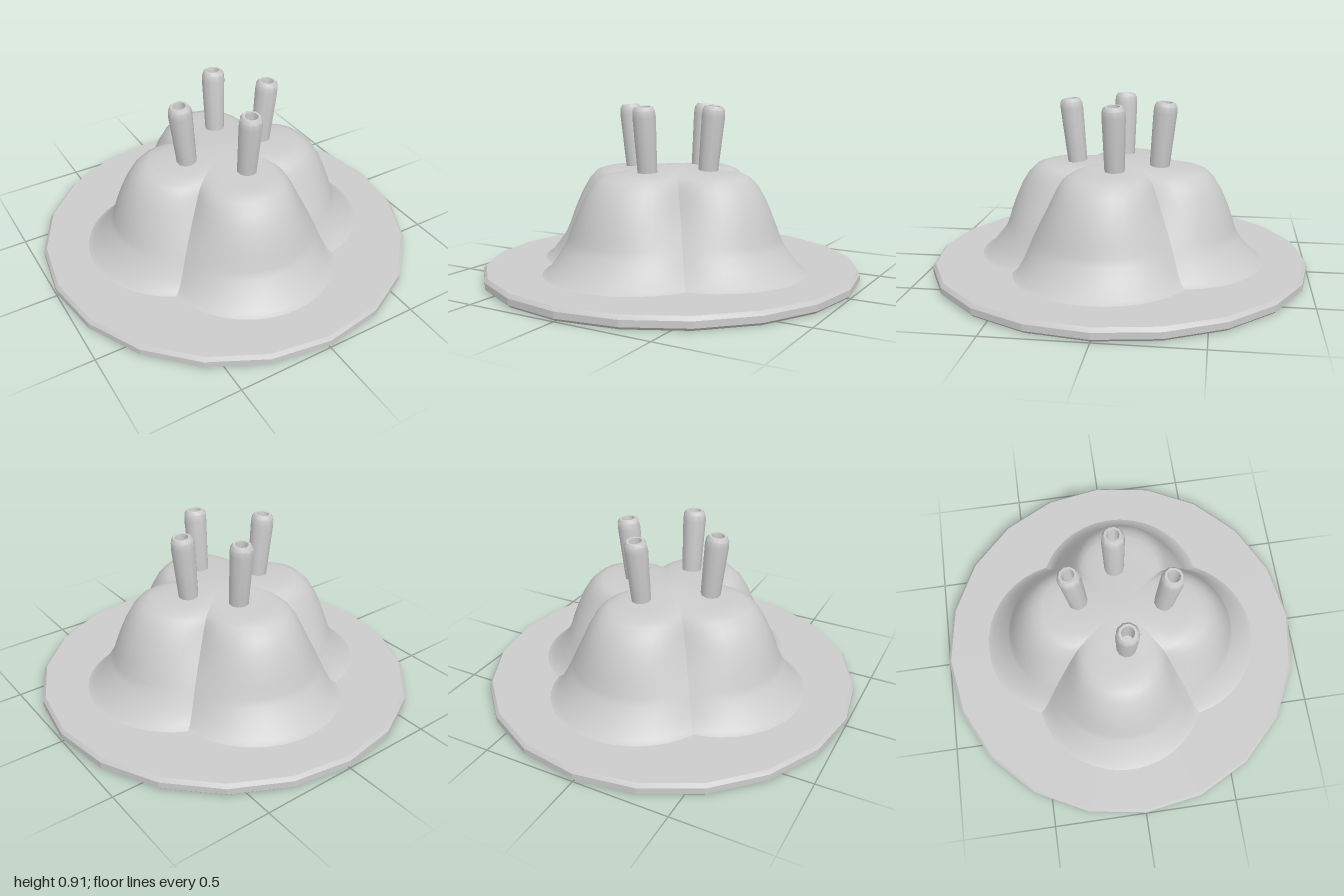
import * as THREE from 'three';
import { toCreasedNormals } from 'three/addons/utils/BufferGeometryUtils.js';

const material = new THREE.MeshStandardMaterial({ color: 0xcccccc });
const TWIST = THREE.MathUtils.degToRad(8); // the four lobes are turned slightly off the axes

function add(parent, name, geometry) {
  const mesh = new THREE.Mesh(geometry, material);
  mesh.name = name;
  parent.add(mesh);
  return mesh;
}

function lathe(points, sides, crease) {
  const profile = points.map(([r, y]) => new THREE.Vector2(r, y));
  return toCreasedNormals(new THREE.LatheGeometry(profile, sides), crease);
}

// Rings of a lobe: radius and height at its middle, radius and height at its creases
const rings = [
  [0.78, 0.06, 0.64, 0.06], [0.74, 0.075, 0.6, 0.08], [0.68, 0.145, 0.56, 0.14],
  [0.635, 0.2, 0.53, 0.2], [0.617, 0.24, 0.505, 0.25], [0.6, 0.3, 0.47, 0.31],
  [0.575, 0.37, 0.425, 0.38], [0.545, 0.44, 0.385, 0.44], [0.505, 0.505, 0.35, 0.49],
  [0.46, 0.548, 0.325, 0.52], [0.41, 0.565, 0.3, 0.54], [0.34, 0.568, 0.26, 0.557],
  [0.24, 0.573, 0.21, 0.571], [0.12, 0.584, 0.12, 0.584], [0.001, 0.588, 0.001, 0.588],
];

// One quarter of the body; each ring is an arc of a circle set off from the centre
function lobeGeometry() {
  const steps = 16, positions = [], index = [];
  for (const [R, yR, C, yC] of rings) {
    const offset = (R * R - C * C) / (2 * R - Math.SQRT2 * C);
    const radius = R - offset;
    for (let j = 0; j <= steps; j++) {
      const t = (2 * j) / steps - 1;
      const a = (t * Math.PI) / 4;
      const r = offset * Math.cos(a) + Math.sqrt(radius ** 2 - (offset * Math.sin(a)) ** 2);
      positions.push(r * Math.cos(a), yR + (yC - yR) * t * t, r * Math.sin(a));
    }
  }
  const row = steps + 1;
  for (let i = 0; i < rings.length - 1; i++) {
    for (let j = 0; j < steps; j++) {
      const a = i * row + j, c = a + row;
      index.push(a, c, a + 1, a + 1, c, c + 1);
    }
  }
  const geometry = new THREE.BufferGeometry();
  geometry.setAttribute('position', new THREE.Float32BufferAttribute(positions, 3));
  geometry.setIndex(index);
  geometry.computeVertexNormals();
  return geometry;
}

export function createModel() {
  const model = new THREE.Group();
  model.name = 'lobedDome';

  // Twenty-sided base plate with bevelled rims
  add(model, 'basePlate', lathe(
    [[0, 0], [0.985, 0], [1, 0.014], [1, 0.046], [0.985, 0.065], [0, 0.065]], 20, 0.3));

  // Four-lobed body
  const body = new THREE.Group();
  body.name = 'body';
  model.add(body);
  const lobe = lobeGeometry();
  for (let k = 0; k < 4; k++) {
    add(body, 'lobe', lobe).rotation.y = -TWIST - (k * Math.PI) / 2;
  }

  // Hollow nozzles leaning outward, one over each lobe
  const nozzle = lathe([
    [0.05, -0.06], [0.052, 0], [0.061, 0.28], [0.058, 0.315], [0.046, 0.333],
    [0.034, 0.333], [0.031, 0.315], [0.031, 0.15], [0, 0.15],
  ], 10, 0.75);
  for (const [x, z] of [[0.225, 0], [-0.225, 0], [-0.003, 0.23], [0.065, -0.215]]) {
    const mesh = add(model, 'nozzle', nozzle);
    mesh.position.set(x, 0.575, z);
    const lean = new THREE.Vector3(x, 0, z).normalize().multiplyScalar(0.1).setY(1).normalize();
    mesh.quaternion.setFromUnitVectors(new THREE.Vector3(0, 1, 0), lean);
  }

  return model;
}
